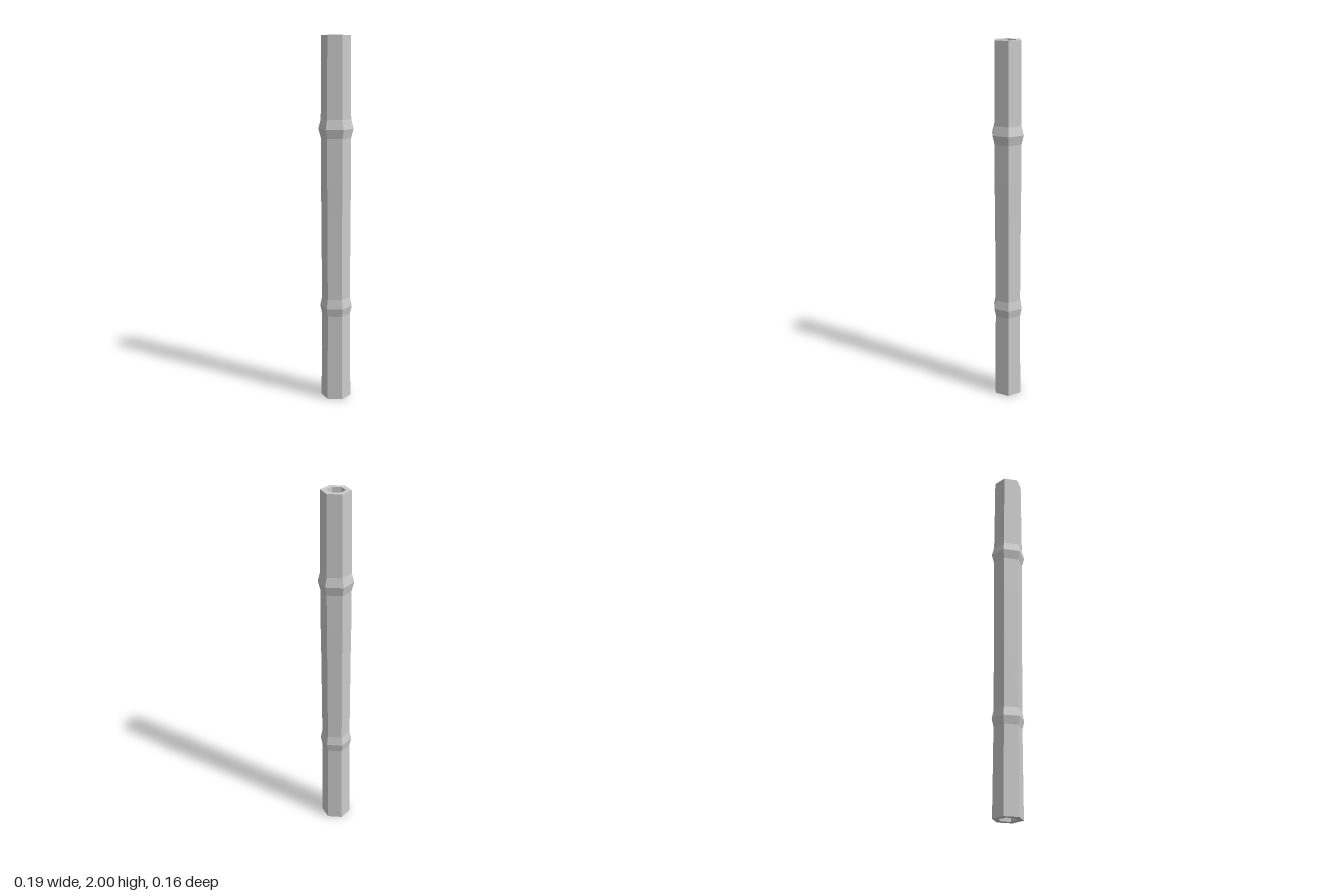
import * as THREE from 'three';

export function createModel() {
  const model = new THREE.Group();
  const material = new THREE.MeshStandardMaterial({ color: 0xcccccc, flatShading: true });
  const bore = 0.049;

  // [radius, height]: up the outside with two swollen joints, then down the bore
  const profile = [
    [bore, 0], [0.082, 0],
    [0.078, 0.48], [0.088, 0.525], [0.078, 0.575], // lower joint
    [0.08, 1.05], [0.082, 1.25],
    [0.082, 1.46], [0.095, 1.51], [0.082, 1.56], // upper joint
    [0.078, 2], [bore, 2], [bore, 0],
  ].map(([r, y]) => new THREE.Vector2(r, y));

  // Six-sided hollow stalk with corners on the x axis
  const stalk = new THREE.Mesh(new THREE.LatheGeometry(profile, 6, Math.PI / 2), material);
  stalk.name = 'hollowStalk';
  model.add(stalk);
  return model;
}
